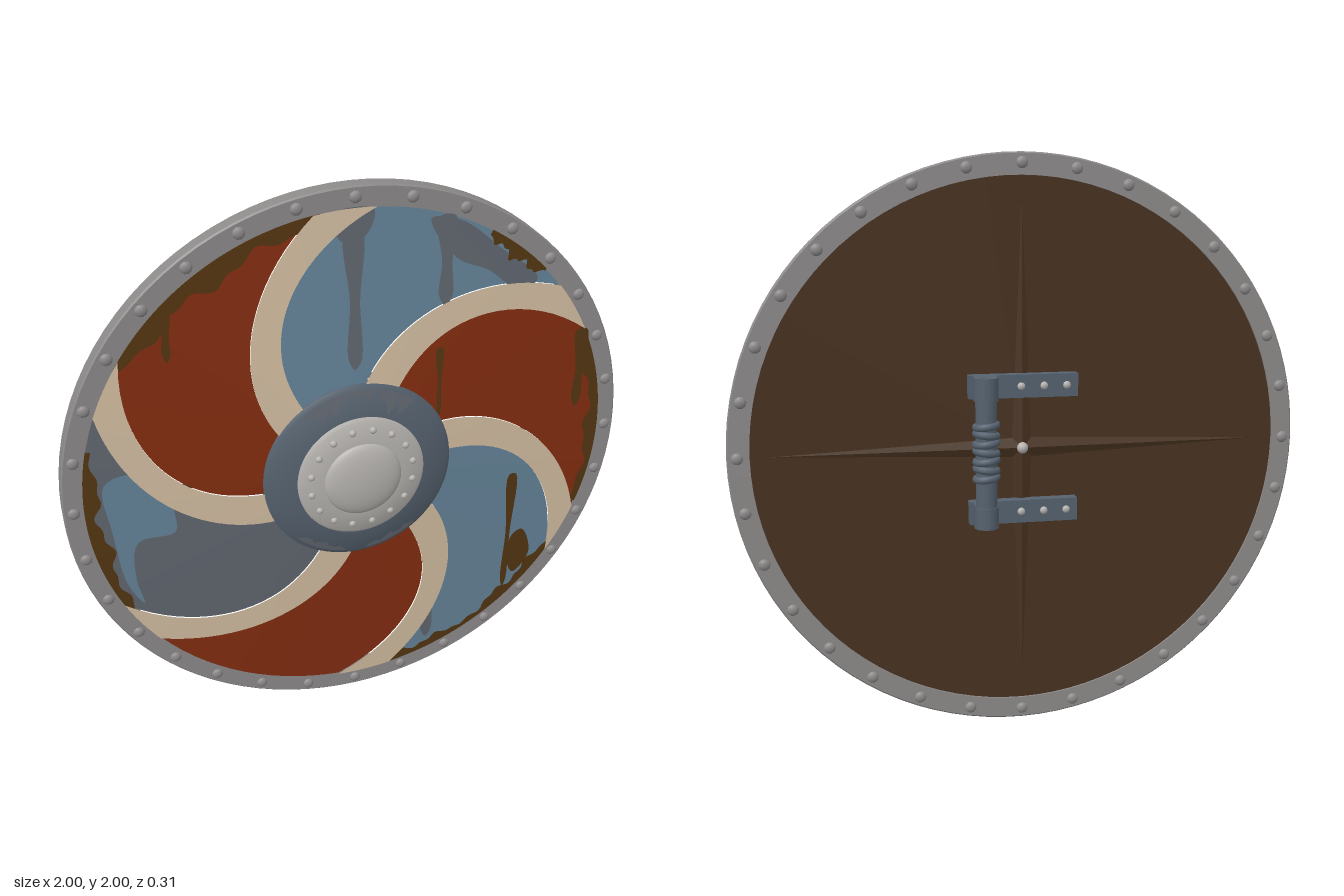
import * as THREE from 'three';
import { toCreasedNormals } from 'three/addons/utils/BufferGeometryUtils.js';
import { ParametricGeometry } from 'three/addons/geometries/ParametricGeometry.js';

const mat = (name, color) => {
  const m = new THREE.MeshStandardMaterial({ color });
  m.name = name;
  return m;
};

export function createModel() {
  const red = mat('red paint', 0x842d10);
  const blue = mat('blue paint', 0x658499);
  const cream = mat('cream paint', 0xd4bea2);
  const grey = mat('worn grey paint', 0x61666f);
  const bare = mat('bare wood', 0x543612);
  const wood = mat('back wood', 0x483220);
  const iron = mat('rim iron', 0x8d8a8a);
  const slate = mat('slate steel', 0x56626f);
  const bright = mat('bright steel', 0xb6b3af);

  const model = new THREE.Group();
  const shield = new THREE.Group();
  shield.name = 'shield';
  shield.position.y = 1;
  model.add(shield);

  const add = (name, geo, material, x = 0, y = 0, z = 0, parent = shield) => {
    const mesh = new THREE.Mesh(geo, material);
    mesh.name = name;
    mesh.position.set(x, y, z);
    parent.add(mesh);
    return mesh;
  };
  const rad = THREE.MathUtils.degToRad;

  // Turned part around z, profile given as [radius, z]
  const turned = (profile) => toCreasedNormals(
    new THREE.LatheGeometry(profile.map(([r, z]) => new THREE.Vector2(r, z)), 96).rotateX(Math.PI / 2), 0.5);

  // Face cone, and polar sheets lying on it
  const faceZ = (r) => 0.035 + (0.93 - r) * 0.05;
  const sheet = (polar, zAt, nr, na) => new ParametricGeometry((u, v, p) => {
    const [r, deg] = polar(u, v);
    p.set(r * Math.cos(rad(deg)), r * Math.sin(rad(deg)), zAt(r));
  }, nr, na);

  // Swirl edges: angle in degrees at each radius
  const edgeLeft = (r) => 146 - 71.4 * (r - 0.33) - 21.3 * (r - 0.33) * (r - 0.575);
  const edgeRight = (r) => 125 - 41.5 * (r - 0.33) - 86 * (r - 0.33) * (r - 0.655);
  const radius = (u) => 0.3 + u * 0.632;

  const fields = [blue, red, blue, red, grey, red];
  fields.forEach((paint, k) => {
    const turn = -60 * k;
    add('paintedField', sheet((u, v) => {
      const r = radius(u);
      return [r, turn + THREE.MathUtils.lerp(edgeLeft(r) - 60, edgeRight(r), v)];
    }, faceZ, 24, 14), paint);
    add('swirlBand', sheet((u, v) => {
      const r = radius(u);
      return [r, turn + THREE.MathUtils.lerp(edgeRight(r), edgeLeft(r), v)];
    }, faceZ, 24, 6), cream, 0, 0, 0.006);
  });

  // Bare wood showing along the rim: [from, to, depth]
  const ragged = (t, depth, seed) => depth * Math.pow(Math.sin(Math.PI * (0.04 + 0.92 * t)), 0.5)
    * (0.7 + 0.2 * Math.sin(t * 17 + seed) + 0.12 * Math.sin(t * 41 + seed * 2));
  [[97, 148, 0.085], [-20, 28, 0.065], [-62, -29, 0.06], [-88, -58, 0.05], [166, 208, 0.07], [44, 60, 0.06]]
    .forEach(([from, to, depth], i) => add('rimWear', sheet((u, v) =>
      [0.932 - (1 - u) * ragged(v, depth, i), from + (to - from) * v], faceZ, 2, 50), bare, 0, 0, 0.004));

  // Worn blotches and drips, outlined in face coordinates
  const blotch = (name, points, material) => {
    const curve = new THREE.CatmullRomCurve3(points.map(([x, y]) => new THREE.Vector3(x, y, 0)), true, 'centripetal');
    const geo = new THREE.ShapeGeometry(new THREE.Shape(curve.getPoints(48).slice(0, -1)));
    const p = geo.attributes.position;
    for (let i = 0; i < p.count; i++) p.setZ(i, faceZ(Math.hypot(p.getX(i), p.getY(i))));
    geo.computeVertexNormals();
    add(name, geo, material, 0, 0, 0.003);
  };
  const drip = (x, top, bottom, w, material) => blotch('drip', [[x - w, top], [x + w, top],
    [x + w * 0.7, (top + bottom) / 2], [x + w * 0.8, bottom + 0.03], [x, bottom], [x - w * 0.8, bottom + 0.04],
    [x - w * 0.5, (top + bottom) / 2]], material);
  drip(-0.01, 0.86, 0.39, 0.028, grey);
  drip(0.305, 0.87, 0.57, 0.03, grey);
  drip(0.285, -0.38, -0.83, 0.025, grey);
  drip(0.6, -0.14, -0.66, 0.014, bare);
  drip(0.29, 0.42, 0.16, 0.01, bare);
  drip(-0.62, 0.66, 0.5, 0.018, bare);
  drip(0.83, 0.4, 0.1, 0.022, bare);
  blotch('wornPatch', [[-0.07, 0.92], [0.06, 0.92], [0.03, 0.84], [-0.05, 0.83]], grey);
  blotch('wornPatch', [[0.25, 0.87], [0.36, 0.85], [0.5, 0.74], [0.64, 0.62], [0.58, 0.58], [0.46, 0.67], [0.34, 0.73]], grey);
  blotch('wornPatch', [[0.62, -0.42], [0.66, -0.4], [0.7, -0.52], [0.64, -0.6], [0.61, -0.54]], bare);
  blotch('bluePatch', [[-0.86, 0.09], [-0.77, 0.12], [-0.67, 0.05], [-0.64, -0.06], [-0.645, -0.13],
    [-0.77, -0.15], [-0.79, -0.3], [-0.77, -0.41], [-0.82, -0.32], [-0.85, -0.1]], blue);

  // Iron rim and its rivets on both sides
  add('rim', turned([[0.924, -0.027], [0.995, -0.027], [1, -0.022], [1, 0.03], [0.995, 0.035],
    [0.924, 0.035], [0.924, -0.027]]), iron);
  const domeCap = (r, h, sides = 10, rings = 5) =>
    new THREE.SphereGeometry(r, sides, rings, 0, Math.PI * 2, 0, Math.PI / 2)
      .scale(1, h / r, 1).rotateX(Math.PI / 2);
  const rimRivet = domeCap(0.021, 0.013);
  for (let i = 0; i < 32; i++) {
    const a = (i / 32) * Math.PI * 2;
    const x = 0.965 * Math.cos(a), y = 0.965 * Math.sin(a);
    add('rimRivet', rimRivet, iron, x, y, 0.034);
    add('rimRivet', rimRivet, iron, x, y, -0.026).rotation.y = Math.PI;
  }

  // Central boss: steel flange, riveted ring and dome
  add('bossFlange', turned([[0.337, 0.04], [0.337, 0.07], [0.322, 0.08], [0.22, 0.1], [0, 0.1]]), slate);
  const bossZ = (r) => 0.082 + (0.322 - r) * 0.196;
  [[98, 128, 0.07], [78, 97, 0.04], [52, 77, 0.085], [225, 260, 0.035], [275, 310, 0.03]]
    .forEach(([from, to, depth], i) => add('bossWear', sheet((u, v) =>
      [0.32 - (1 - u) * ragged(v, depth, i + 2), from + (to - from) * v], bossZ, 2, 30), grey));
  add('bossRing', turned([[0.226, 0.09], [0.226, 0.106], [0.215, 0.113], [0.14, 0.124], [0, 0.124]]), bright);
  add('bossDome', domeCap(0.138, 0.035, 48, 12), bright, 0, 0, 0.121);
  const bossRivet = domeCap(0.013, 0.012);
  for (let i = 0; i < 16; i++) {
    const a = ((i + 0.5) / 16) * Math.PI * 2;
    add('bossRivet', bossRivet, bright, 0.185 * Math.cos(a), 0.185 * Math.sin(a), 0.116);
  }

  // Wooden back with two tapering crossed ribs
  add('backBoard', new THREE.CircleGeometry(0.928, 96).rotateY(Math.PI), wood, 0, 0, -0.02);
  for (const turn of [0, Math.PI / 2]) {
    const rib = new THREE.OctahedronGeometry(1, 0).scale(0.86, 0.035, 0.014);
    add('backRib', rib, wood, 0, 0, -0.02).rotation.z = turn;
  }
  add('centreRivet', new THREE.SphereGeometry(0.02, 12, 8), bright, 0, 0, -0.035);

  // Grip on two riveted brackets
  const handle = new THREE.Group();
  handle.name = 'handle';
  shield.add(handle);
  const handleRivet = domeCap(0.014, 0.01);
  for (const s of [1, -1]) {
    add('bracket', new THREE.BoxGeometry(0.38, 0.08, 0.045), slate, 0, 0.22 * s, -0.04, handle);
    add('bracketPost', new THREE.BoxGeometry(0.08, 0.08, 0.07), slate, 0.14, 0.22 * s, -0.085, handle);
    add('gripCollar', new THREE.CylinderGeometry(0.043, 0.043, 0.075, 16), slate, 0.14, 0.222 * s, -0.105, handle);
    for (const x of [-0.15, -0.07, 0.01])
      add('bracketRivet', handleRivet, bright, x, 0.22 * s, -0.062, handle).rotation.y = Math.PI;
  }
  add('grip', new THREE.CylinderGeometry(0.037, 0.037, 0.44, 20), slate, 0.14, 0, -0.105, handle);
  for (let i = 0; i < 7; i++) {
    const wrap = add('gripWrap', new THREE.TorusGeometry(0.036, 0.013, 8, 20), slate, 0.14, -0.085 + i * 0.03, -0.105, handle);
    wrap.rotation.set(Math.PI / 2, (i % 2 ? 1 : -1) * 0.12, 0);
  }
  return model;
}
